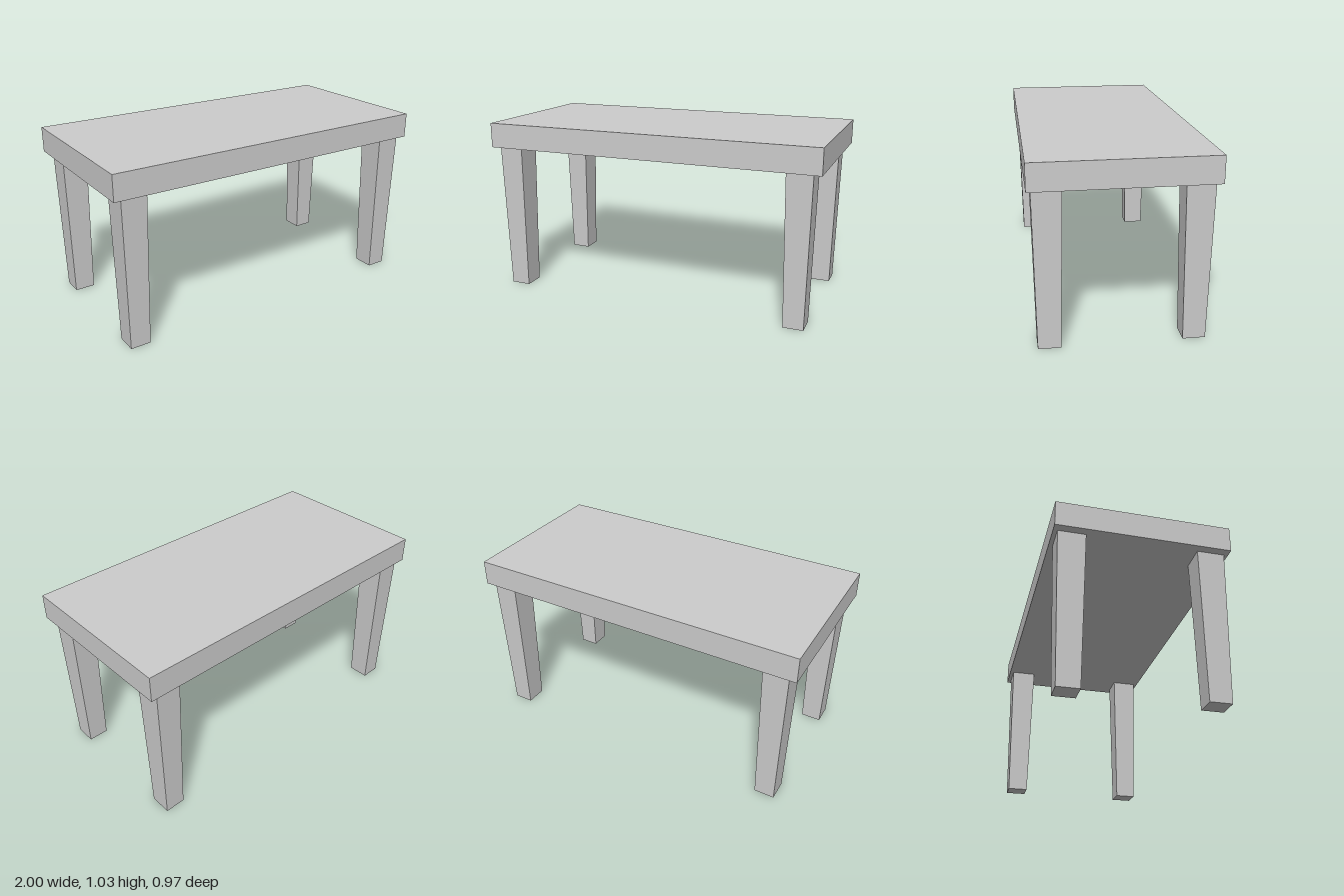
import * as THREE from 'three';

const material = new THREE.MeshStandardMaterial({ color: 0xcccccc, flatShading: true });

const LEG_HEIGHT = 0.88;
const TOP_THICKNESS = 0.147;

// Rectangular leg that narrows evenly towards the floor
function taperedLegGeometry(width, depth, height, taper) {
  const geometry = new THREE.BoxGeometry(width, height, depth);
  const position = geometry.attributes.position;
  for (let i = 0; i < position.count; i++) {
    if (position.getY(i) < 0) {
      position.setX(i, position.getX(i) * taper);
      position.setZ(i, position.getZ(i) * taper);
    }
  }
  geometry.translate(0, height / 2, 0);
  geometry.computeVertexNormals();
  return geometry;
}

export function createModel() {
  const table = new THREE.Group();
  table.name = 'table';

  // Thick rectangular slab
  const top = new THREE.Mesh(new THREE.BoxGeometry(2, TOP_THICKNESS, 0.972), material);
  top.name = 'tableTop';
  top.position.y = LEG_HEIGHT + TOP_THICKNESS / 2;
  table.add(top);

  // Four matching legs, set in from the corners
  const legGeometry = taperedLegGeometry(0.146, 0.154, LEG_HEIGHT, 0.8);
  for (const [side, x] of [['Left', 0.88], ['Right', -0.88]]) {
    for (const [end, z] of [['front', 0.386], ['back', -0.386]]) {
      const leg = new THREE.Mesh(legGeometry, material);
      leg.name = `${end}${side}Leg`;
      leg.position.set(x, 0, z);
      table.add(leg);
    }
  }
  return table;
}
